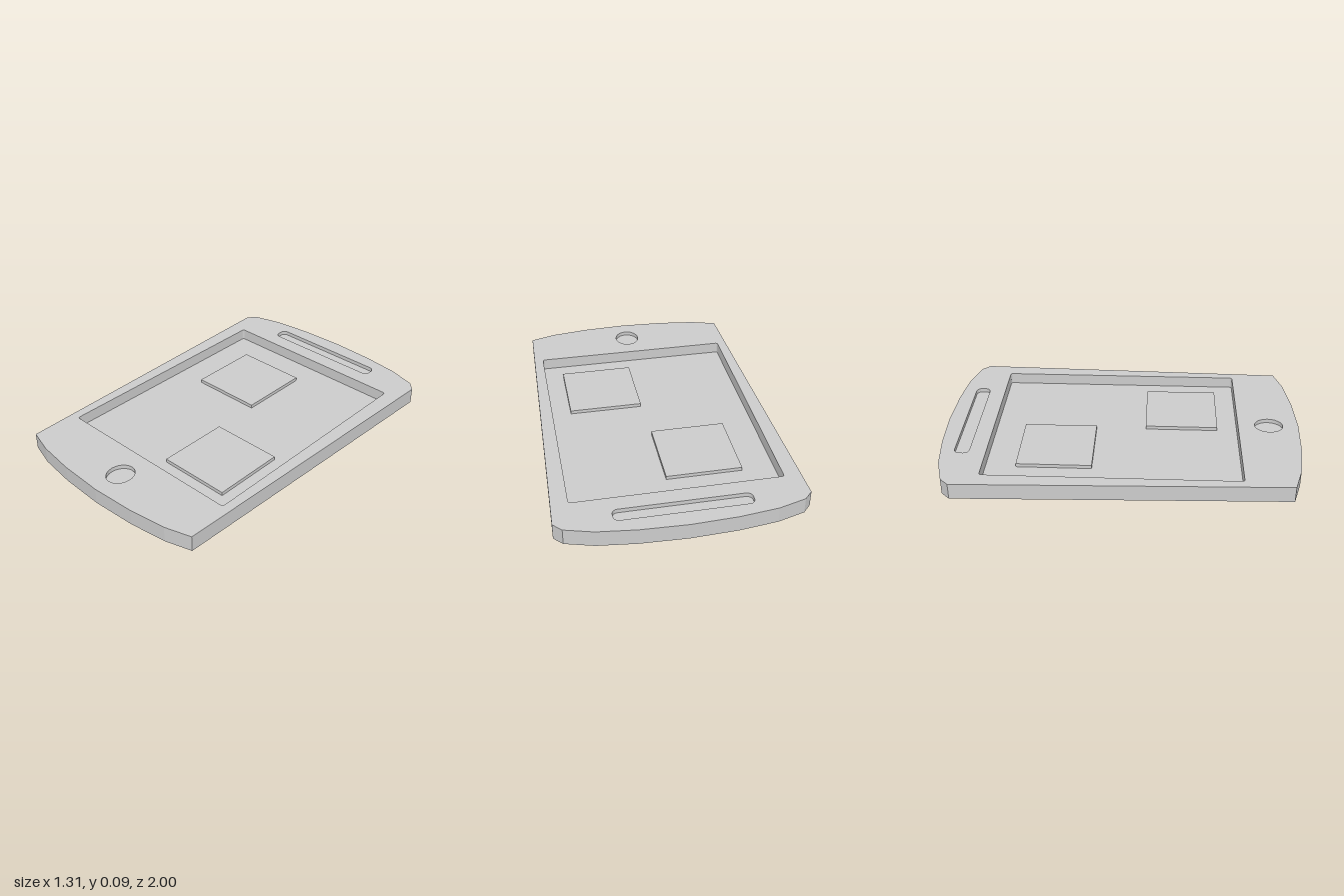
import * as THREE from 'three';

const TOP = 0.09, SCREEN_FLOOR = 0.025, DETAIL_FLOOR = 0.067;
const material = new THREE.MeshStandardMaterial({ color: 0xcccccc, flatShading: true });
const v = (x, z) => new THREE.Vector2(x, -z); // plan point, outlines run counter-clockwise from above

// Horizontal face with optional holes
function face(points, y, holes = []) {
  const shape = new THREE.Shape(points);
  shape.holes = holes.map((h) => new THREE.Path(h));
  return new THREE.ShapeGeometry(shape).rotateX(-Math.PI / 2).translate(0, y, 0);
}

// Upright band along an outline; inward for the sides of a recess
function wall(points, y0, y1, inward = false) {
  const loop = inward ? [...points].reverse() : points;
  const pos = [];
  loop.forEach((a, i) => {
    const b = loop[(i + 1) % loop.length];
    pos.push(a.x, y0, -a.y, b.x, y0, -b.y, b.x, y1, -b.y);
    pos.push(a.x, y0, -a.y, b.x, y1, -b.y, a.x, y1, -a.y);
  });
  const geo = new THREE.BufferGeometry();
  geo.setAttribute('position', new THREE.Float32BufferAttribute(pos, 3));
  geo.computeVertexNormals();
  return geo;
}

// Rectangle with rounded corners
function roundedRect(x0, x1, z0, z1, r, steps) {
  const pts = [];
  const corners = [[x1 - r, z0 + r], [x0 + r, z0 + r], [x0 + r, z1 - r], [x1 - r, z1 - r]];
  corners.forEach(([cx, cz], q) => {
    for (let i = 0; i <= steps; i++) {
      const a = (q + i / steps) * Math.PI / 2;
      pts.push(v(cx + r * Math.cos(a), cz - r * Math.sin(a)));
    }
  });
  return pts;
}

function ellipse(cx, cz, rx, rz, n) {
  return Array.from({ length: n }, (_, i) => {
    const a = (i / n) * Math.PI * 2;
    return v(cx + rx * Math.cos(a), cz - rz * Math.sin(a));
  });
}

export function createModel() {
  const model = new THREE.Group();
  const add = (name, geo, parent = model) => {
    const mesh = new THREE.Mesh(geo, material);
    mesh.name = name;
    parent.add(mesh);
    return mesh;
  };

  // Tapered outline with bowed ends and clipped upper corners
  const half = [[0.25, 0.988], [0.46, 0.96], [0.605, 0.917], [0.655, -0.875],
    [0.61, -0.922], [0.46, -0.965], [0.25, -0.99]];
  const outline = [v(0, 1), ...half.map(([x, z]) => v(x, z)), v(0, -1),
    ...[...half].reverse().map(([x, z]) => v(-x, z))];

  const recesses = [
    { name: 'screen', points: roundedRect(-0.56, 0.56, -0.73, 0.657, 0.012, 3), floor: SCREEN_FLOOR },
    { name: 'speakerSlot', points: roundedRect(-0.358, 0.358, -0.905, -0.823, 0.03, 4), floor: DETAIL_FLOOR },
    { name: 'homeButton', points: ellipse(0, 0.832, 0.07, 0.08, 24), floor: DETAIL_FLOOR },
  ];

  // Casing: front panel, rim and flat back
  const casing = new THREE.Group();
  casing.name = 'casing';
  model.add(casing);
  add('frontPanel', face(outline, TOP, recesses.map((r) => r.points)), casing);
  add('rim', wall(outline, 0, TOP), casing);
  add('backPanel', face(outline, 0).rotateZ(Math.PI), casing);

  // Sunken screen, slot and button
  for (const { name, points, floor } of recesses) {
    add(name + 'Floor', face(points, floor));
    add(name + 'Sides', wall(points, floor, TOP, true));
  }

  // Raised square tiles on the screen
  for (const [name, x, z] of [['upperTile', -0.178, -0.358], ['lowerTile', 0.243, 0.338]]) {
    const tile = add(name, new THREE.BoxGeometry(0.412, 0.02, 0.412));
    tile.position.set(x, SCREEN_FLOOR + 0.01, z);
  }
  return model;
}
